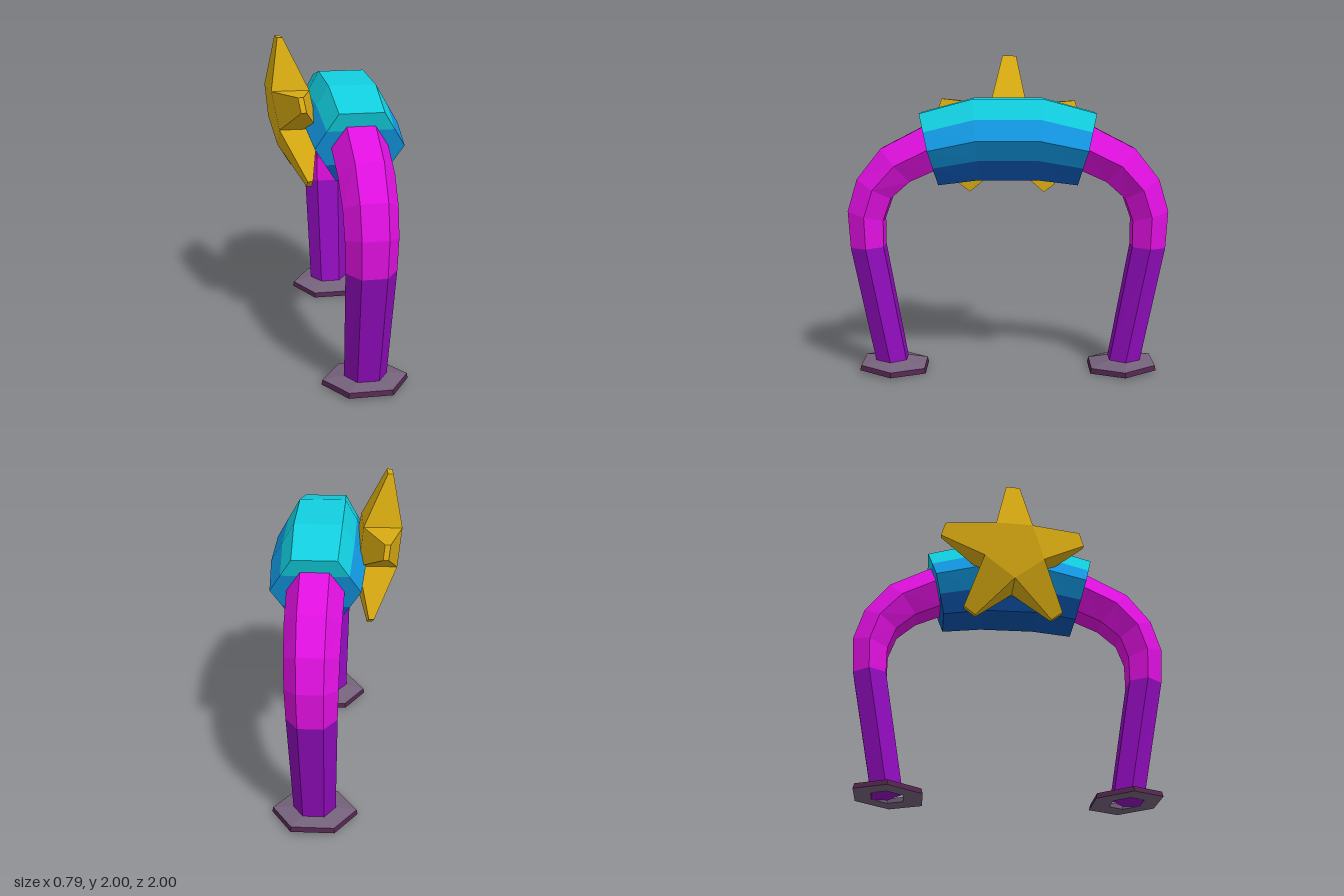
import * as THREE from 'three';

const rad = THREE.MathUtils.degToRad;

const material = (name, color) => {
  const m = new THREE.MeshStandardMaterial({ color });
  m.name = name;
  return m;
};

// Flat-shaded geometry from a list of convex polygons (arrays of Vector3).
function faces(polys) {
  const pos = [];
  for (const p of polys)
    for (let i = 1; i < p.length - 1; i++)
      for (const v of [p[0], p[i], p[i + 1]]) pos.push(v.x, v.y, v.z);
  const g = new THREE.BufferGeometry();
  g.setAttribute('position', new THREE.Float32BufferAttribute(pos, 3));
  g.computeVertexNormals();
  return g;
}

// Hexagon across the arch: centre (z, y), outward direction tilted from up by t degrees,
// half width rx and half height h.
function hexagon([z, y, t, rx, h]) {
  const c = Math.cos(rad(t)), s = Math.sin(rad(t));
  return Array.from({ length: 6 }, (_, i) => {
    const a = i * Math.PI / 3;
    const n = h * Math.sin(a) / Math.sin(Math.PI / 3);
    return new THREE.Vector3(rx * Math.cos(a), y + n * c, z + n * s);
  });
}

// Polygons of the walls between successive rings.
function walls(rings) {
  const out = [];
  for (let k = 0; k < rings.length - 1; k++) {
    const A = rings[k], B = rings[k + 1];
    A.forEach((a, j) => {
      const n = (j + 1) % A.length;
      out.push([a, A[n], B[n], B[j]]);
    });
  }
  return out;
}

export function createModel() {
  const cyan = material('cyan', 0x12cfe0);
  const blue = material('blue', 0x1296e0);
  const deepBlue = material('deep blue', 0x0c56b0);
  const magenta = material('magenta', 0xe010e0);
  const purple = material('purple', 0x900cbc);
  const footGrey = material('mauve grey', 0x75627c);
  const rimDark = material('dark plum', 0x52264f);
  const gold = material('gold', 0xdcae12);

  const model = new THREE.Group();
  model.name = 'archWithStar';
  const add = (parent, name, polys, mat) => {
    const m = new THREE.Mesh(faces(polys), mat);
    m.name = name;
    parent.add(m);
  };

  const arch = new THREE.Group();
  arch.name = 'arch';
  arch.position.x = 0.1;
  model.add(arch);

  // Body: four hexagon rings, cut lengthwise into three colour bands
  const body = new THREE.Group();
  body.name = 'body';
  arch.add(body);
  const rings = [
    [-0.487, 1.42, -14.6, 0.267, 0.227],
    [-0.195, 1.481, -4, 0.288, 0.249],
    [0.195, 1.481, 4, 0.288, 0.249],
    [0.487, 1.42, 14.6, 0.267, 0.227],
  ].map(hexagon);
  const mid = (a, b) => a.clone().lerp(b, 0.5);
  const bands = [
    ['bodyTop', cyan, h => [mid(h[0], h[1]), h[1], h[2], mid(h[2], h[3])]],
    ['bodyBottom', deepBlue, h => [mid(h[3], h[4]), h[4], h[5], mid(h[5], h[0])]],
    ['bodySides', blue, h => [mid(h[5], h[0]), h[0], mid(h[0], h[1]),
      mid(h[2], h[3]), h[3], mid(h[3], h[4])]],
  ];
  for (const [name, mat, cut] of bands) {
    const strips = rings.map(cut);
    const polys = walls(strips).filter((_, i) => {
      const n = strips[0].length, j = i % n;
      return j !== n - 1 && !(n === 6 && j === 2); // skip the internal cuts
    });
    if (strips[0].length === 6) // lower side band wraps round on both flanks
      polys.forEach(p => p);
    polys.push([...strips[0]].reverse(), strips[3]);
    add(body, name, polys, mat);
  }

  // Legs: bent tube, straight shin and a wide hexagonal foot, repeated front and back
  const upper = [
    [0.40, 1.445, 16, 0.17, 0.136],
    [0.487, 1.422, 18, 0.17, 0.139],
    [0.70, 1.318, 41, 0.166, 0.136],
    [0.835, 1.17, 60, 0.16, 0.121],
    [0.89, 1.0, 75, 0.156, 0.114],
    [0.883, 0.80, 92, 0.15, 0.103],
  ].map(hexagon);
  const ankle = hexagon([0.737, 0.03, 101, 0.13, 0.094]);
  const collar = hexagon([0.745, 0.07, 90, 0.125, 0.092]);
  const rimTop = hexagon([0.728, 0.043, 87, 0.26, 0.2]);
  const rimBottom = hexagon([0.728, 0.011, 87, 0.266, 0.207]);
  const hole = hexagon([0.735, 0.011, 87, 0.13, 0.097]);
  const holeTop = hexagon([0.737, 0.04, 87, 0.13, 0.097]);
  ['front', 'back'].forEach((side, i) => {
    const leg = new THREE.Group();
    leg.name = side + 'Leg';
    leg.rotation.y = i * Math.PI;
    arch.add(leg);
    add(leg, side + 'UpperLeg', walls(upper), magenta);
    add(leg, side + 'LowerLeg', [...walls([upper[5], ankle]), ankle], purple);
    add(leg, side + 'FootTop', walls([collar, rimTop]), footGrey);
    add(leg, side + 'FootRim', walls([rimTop, rimBottom]), rimDark);
    add(leg, side + 'FootSole', walls([rimBottom, hole, holeTop]), footGrey);
  });

  // Star: thick pentagon core with five arms tapering to small blunt tips,
  // leaning slightly out at the top and towards the back
  const star = (z, y, t) =>
    new THREE.Vector3(-0.25 - 0.142 * y + 0.088 * z + t, 1.52 + y, z);
  const polar = (deg, r, w, t) => { // w moves sideways from the arm's axis
    const c = Math.cos(rad(deg)), s = Math.sin(rad(deg));
    return star(r * s + w * c, r * c - w * s, t);
  };
  const polys = [];
  const core = [[], []];
  for (let k = 0; k < 5; k++) {
    const a = k * 72 - 1;
    const quad = (f) => [f(-1, -1), f(1, -1), f(1, 1), f(-1, 1)];
    const base = quad((w, t) => polar(a + 36 * w, 0.2, 0, 0.116 * t));
    const tip = quad((w, t) => polar(a, 0.475, 0.045 * w, 0.016 * t));
    polys.push(...walls([base, tip]), tip);
    core[0].push(base[0]);
    core[1].push(base[3]);
  }
  polys.push(core[0], core[1].reverse());
  // Arms are wound so that their outsides face out
  const centre = star(0, 0, 0);
  const turned = polys.map(p => {
    const n = p[1].clone().sub(p[0]).cross(p[2].clone().sub(p[0]));
    return n.dot(p[0].clone().sub(centre)) < 0 ? [...p].reverse() : p;
  });
  add(model, 'star', turned, gold);

  return model;
}
